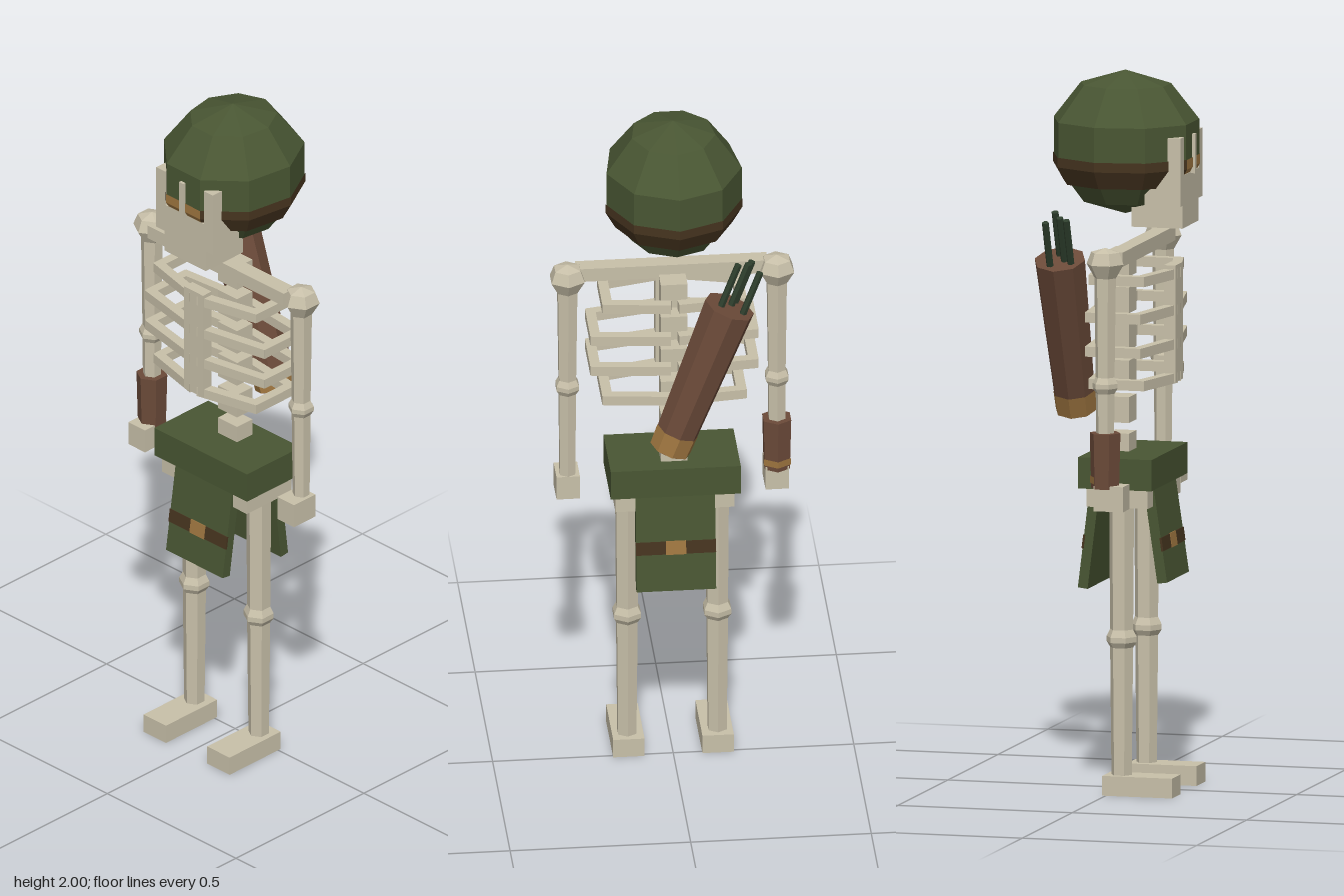
import * as THREE from 'three';

const material = (name, color) => Object.assign(new THREE.MeshStandardMaterial({ color }), { name });
const bone = material('bone', 0xc8c0a9);
const green = material('green cloth', 0x495633);
const strap = material('dark strap', 0x46341f);
const leather = material('leather', 0x6b4a39);
const gold = material('gold trim', 0x9f7640);
const shaft = material('arrow shaft', 0x2f402e);

// Faceted mesh: split vertices so that every face gets its own normal
function part(parent, name, geometry, mat, x = 0, y = 0, z = 0) {
  const g = geometry.index ? geometry.toNonIndexed() : geometry;
  g.computeVertexNormals();
  const mesh = new THREE.Mesh(g, mat);
  mesh.name = name;
  mesh.position.set(x, y, z);
  parent.add(mesh);
  return mesh;
}

// Box given by its low and high limits on each axis
function block(parent, name, mat, [x0, x1], [y0, y1], [z0, z1]) {
  return part(parent, name, new THREE.BoxGeometry(x1 - x0, y1 - y0, z1 - z0), mat,
    (x0 + x1) / 2, (y0 + y1) / 2, (z0 + z1) / 2);
}

// Turned shape from [radius, height] pairs, listed bottom to top
const turned = (profile, sides, start = 0, length = Math.PI * 2) =>
  new THREE.LatheGeometry(profile.map(([r, y]) => new THREE.Vector2(r, y)), sides, start, length);

// Span between two x limits, mirrored for side s
const span = (s, a, b) => (s > 0 ? [a, b] : [-b, -a]);

function buildHead(root) {
  const head = new THREE.Group();
  head.name = 'head';
  root.add(head);

  // Hood: nine-sided ball with a corner at the back
  const R = 0.2, hoodY = 1.8, hoodZ = 0.009, deg = Math.PI / 180;
  const rings = [];
  for (let i = 0; i <= 5; i++) {
    const a = (i * Math.PI) / 5;
    rings.push([Math.max(0, R * Math.sin(a)), -R * Math.cos(a)]);
  }
  rings[0][0] = rings[5][0] = 0;
  const hood = part(head, 'hood', turned(rings, 9, Math.PI), green, 0, hoodY, hoodZ);

  // Headband lying on the hood, gold on the front facet
  const band = [[0.165, -0.112], [0.1925, -0.062], [0.1925, -0.035]];
  const back = part(head, 'headband', turned(band, 8, 20 * deg, 320 * deg), strap, 0, hoodY, hoodZ);
  const front = part(head, 'headbandFront', turned(band, 1, -20 * deg, 40 * deg), gold, 0, hoodY, hoodZ);
  for (const m of [hood, back, front]) m.scale.z = 1.08;

  // U-shaped face plate, nose and jaw
  const face = new THREE.Shape([[-0.11, 1.64], [0.11, 1.64], [0.11, 1.83], [0.075, 1.83],
    [0.075, 1.724], [-0.075, 1.724], [-0.075, 1.83], [-0.11, 1.83]].map(p => new THREE.Vector2(...p)));
  part(head, 'facePlate', new THREE.ExtrudeGeometry(face, { depth: 0.103, bevelEnabled: false }), bone, 0, 0, 0.095);
  block(head, 'nose', bone, [-0.008, 0.008], [1.72, 1.83], [0.19, 0.211]);
  block(head, 'jaw', bone, [-0.08, 0.08], [1.575, 1.64], [0.05, 0.195]);
}

function buildTorso(root) {
  const torso = new THREE.Group();
  torso.name = 'torso';
  root.add(torso);
  block(torso, 'collarBone', bone, [-0.265, 0.265], [1.49, 1.53], [0.03, 0.077]);
  block(torso, 'sternum', bone, [-0.037, 0.037], [1.14, 1.465], [0.13, 0.163]);
  for (let i = 0; i < 6; i++) {
    const y = 0.955 + i * 0.102;
    block(torso, 'vertebra', bone, [-0.037, 0.037], [y - 0.036, y + 0.036], [-0.03, 0.03]);
  }

  // Ribs: each half runs from sternum to side to spine
  [[1.44, 0.2], [1.34, 0.233], [1.245, 0.233], [1.15, 0.2]].forEach(([y, w]) => {
    for (const s of [-1, 1]) {
      const path = [[0.02, 0.148], [w - 0.014, 0.108], [w - 0.014, -0.028], [0.02, -0.046]];
      for (let i = 0; i < 3; i++) {
        const [x0, z0] = path[i], [x1, z1] = path[i + 1];
        const dx = (x1 - x0) * s, dz = z1 - z0;
        const rib = part(torso, 'rib', new THREE.BoxGeometry(Math.hypot(dx, dz) + 0.02, 0.028, 0.028), bone,
          s * (x0 + x1) / 2, y, (z0 + z1) / 2);
        rib.rotation.y = Math.atan2(-dz, dx);
      }
    }
  });
}

function buildLimbs(root) {
  const shoulder = [[0.03, 1.46], [0.053, 1.5], [0.04, 1.533], [0, 1.545]];
  const arm = [[0, 0.87], [0.024, 0.87], [0.027, 1.14], [0.036, 1.155], [0.036, 1.168], [0.027, 1.185], [0.031, 1.47]];
  const leg = [[0, 0.04], [0.029, 0.04], [0.033, 0.41], [0.043, 0.425], [0.043, 0.44], [0.033, 0.46], [0.036, 0.85]];
  for (const s of [-1, 1]) {
    const side = s > 0 ? 'left' : 'right';
    const ax = s * 0.29, z = 0.034;
    part(root, side + 'Shoulder', turned(shoulder, 6), bone, ax, 0, z);
    part(root, side + 'Arm', turned(arm, 6), bone, ax, 0, z);
    block(root, side + 'Hand', bone, span(s, 0.257, 0.322), [0.815, 0.885], [0.01, 0.094]);

    part(root, side + 'Leg', turned(leg, 6), bone, s * 0.125, 0, z);
    block(root, side + 'Hip', bone, span(s, 0.085, 0.165), [0.803, 0.86], [-0.055, 0.12]);
    block(root, side + 'Foot', bone, span(s, 0.08, 0.167), [0, 0.055], [-0.01, 0.19]);
  }
  // Bracer on the right forearm, trimmed at the back
  part(root, 'bracer', turned([[0, 0.876], [0.04, 0.876], [0.044, 1.03], [0, 1.03]], 6), leather, -0.29, 0, 0.034);
  part(root, 'bracerTrim', turned([[0.043, 0.89], [0.0435, 0.91]], 2, Math.PI * 2 / 3, Math.PI * 2 / 3), gold, -0.29, 0, 0.034);
}

function buildSkirt(root) {
  block(root, 'waistCloth', green, [-0.18, 0.18], [0.855, 0.942], [-0.075, 0.135]);
  // Hanging flaps: [name, top z, bottom z, bottom y, outward side]
  for (const [name, zt, zb, yb, out] of [['frontFlap', 0.105, 0.146, 0.59, 1], ['backFlap', -0.045, -0.082, 0.567, -1]]) {
    const flap = new THREE.Group();
    flap.name = name;
    const h = 0.87 - yb;
    flap.position.set(0, (0.87 + yb) / 2, (zt + zb) / 2);
    flap.rotation.x = Math.atan2(zt - zb, h);
    root.add(flap);
    const beltY = 0.695 - flap.position.y;
    part(flap, 'flapCloth', new THREE.BoxGeometry(0.22, Math.hypot(h, zt - zb), 0.028), green);
    part(flap, 'flapBelt', new THREE.BoxGeometry(0.222, 0.038, 0.006), strap, 0, beltY, out * 0.0135);
    part(flap, 'flapBuckle', new THREE.BoxGeometry(0.056, 0.04, 0.007), gold, 0, beltY, out * 0.0145);
  }
}

function buildQuiver(root) {
  // Leaning case, built upright from its bottom
  const quiver = new THREE.Group();
  quiver.name = 'quiver';
  quiver.position.set(0.022, 1.045, -0.138);
  quiver.rotation.z = 0.358;
  root.add(quiver);
  part(quiver, 'quiverCase', turned([[0, 0], [0.057, 0], [0.072, 0.47], [0, 0.47]], 8), leather);
  part(quiver, 'quiverTrim', turned([[0.0585, 0.001], [0.0605, 0.062]], 8), gold);
  for (const [x, z] of [[-0.038, -0.018], [0.025, -0.007], [-0.007, 0.015], [-0.02, 0.037]]) {
    part(quiver, 'arrow', new THREE.CylinderGeometry(0.01, 0.01, 0.3, 6), shaft, x, 0.455, z);
  }
}

export function createModel() {
  const root = new THREE.Group();
  root.name = 'skeletonArcher';
  buildHead(root);
  buildTorso(root);
  buildLimbs(root);
  buildSkirt(root);
  buildQuiver(root);
  return root;
}
